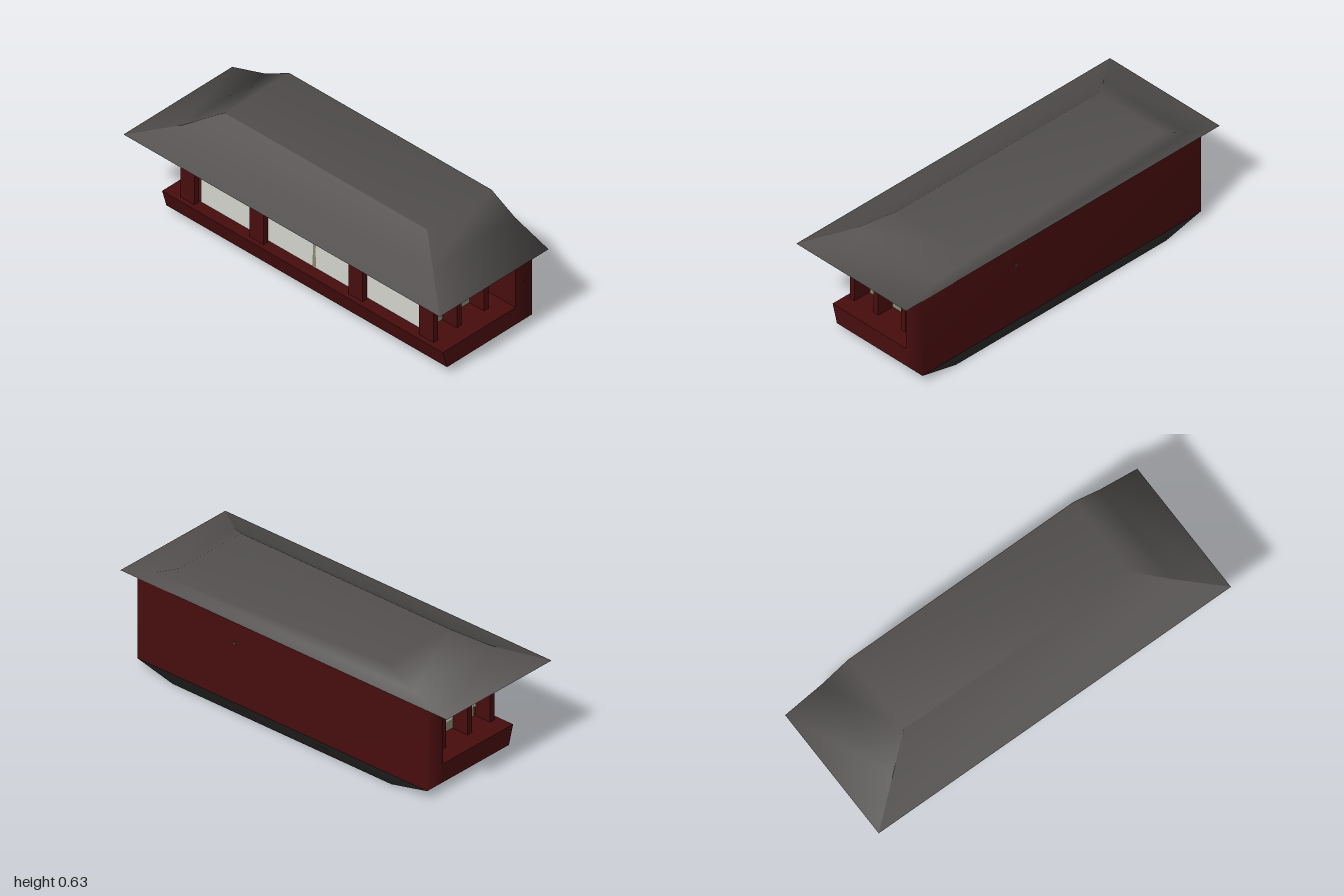
import * as THREE from 'three';

const mat = (name, color) => new THREE.MeshStandardMaterial({ name, color });

// Corner order of a block: bit 0 = x, bit 1 = y, bit 2 = z
const SIDES = {
  front: [4, 5, 7, 6], back: [1, 0, 2, 3], right: [5, 1, 3, 7],
  left: [0, 4, 6, 2], top: [6, 7, 3, 2], bottom: [0, 1, 5, 4],
};

export function createModel() {
  const red = mat('dark red wood', 0x480d0e);
  const slate = mat('roof slate', 0x524f4e);
  const stone = mat('underside grey', 0x3a3a3b);
  const paper = mat('pale paper', 0xd6d6d0);
  const olive = mat('olive paint', 0x8a8a70);
  const dusk = mat('dusky paint', 0x4c4a58);
  const gold = mat('gold soffit', 0xb8984f);
  const model = new THREE.Group();

  const add = (name, geometry, material, parent = model) => {
    const mesh = new THREE.Mesh(geometry, material);
    mesh.name = name;
    parent.add(mesh);
    return mesh;
  };

  // Quads sharing vertices are smooth; flat splits them
  const quads = (points, faces, flat = false) => {
    let g = new THREE.BufferGeometry();
    g.setAttribute('position', new THREE.Float32BufferAttribute(points.flat(), 3));
    g.setIndex(faces.flatMap(([a, b, c, d]) => [a, b, c, a, c, d]));
    if (flat) g = g.toNonIndexed();
    g.computeVertexNormals();
    return g;
  };

  // Block between two rectangles [x0, x1, z0, z1] at heights y0 and y1
  const block = (y0, low, y1, high, sides = Object.keys(SIDES), flat = true) => {
    const pts = [];
    for (let i = 0; i < 8; i++) {
      const r = i & 2 ? high : low;
      pts.push([r[i & 1], i & 2 ? y1 : y0, r[i & 4 ? 3 : 2]]);
    }
    return quads(pts, sides.map((s) => SIDES[s]), flat);
  };

  const X0 = -0.88, X1 = 0.895, BACK = -0.357, WALL = -0.25;
  const FLOOR = 0.147, HEAD = 0.405, EAVE = 0.475;

  // Tapered underside
  add('underside', block(0, [-0.66, 0.68, BACK, 0.04], 0.05, [X0, X1, BACK, 0.2],
    ['front', 'back', 'left', 'right', 'bottom'], false), stone);

  // Flared balcony base and lintel
  add('base', block(0.05, [X0, X1, WALL, 0.2], FLOOR, [X0, X1, WALL, 0.228]), red);
  const beam = [X0, X1, WALL, 0.228];
  add('lintel', block(HEAD, beam, EAVE, beam), red);

  // Back wall with softened rear corners
  const slab = [X0, X1, BACK, WALL];
  add('backWall', block(0.05, slab, EAVE, slab, ['left', 'back', 'right'], false), red);
  add('backWallFront', block(0.05, slab, EAVE, slab, ['front']), red);
  const peg = add('wallPeg', new THREE.CylinderGeometry(0.009, 0.009, 0.004, 8), stone);
  peg.rotation.x = Math.PI / 2;
  peg.position.set(0.3, 0.365, BACK);

  // Posts along the front and down both ends
  const postGeo = new THREE.BoxGeometry(0.09, HEAD - FLOOR, 0.03);
  const post = (x, z) => add('post', postGeo, red).position.set(x, (HEAD + FLOOR) / 2, z);
  for (const x of [-0.745, -0.308, 0.318, 0.765]) post(x, 0.187);
  for (const x of [-0.745, 0.765]) for (const z of [0.033, -0.145]) post(x, z);

  // Paper screens around the inner room
  const L = -0.695, R = 0.715, F = 0.165;
  const room = [L, R, WALL, F];
  add('screens', block(FLOOR, room, HEAD, room, ['front', 'left', 'right']), paper);

  // Painted plates on the screens
  const plate = (name, points, material) => {
    const shape = new THREE.Shape(points.map((p) => new THREE.Vector2(...p)));
    return add(name, new THREE.ShapeGeometry(shape), material);
  };
  const ragged = (from, to, y, amp, n) => Array.from({ length: n + 1 }, (_, i) => [
    from + ((to - from) * i) / n, y + amp * Math.sin(i * 2.3) * Math.cos(i * 0.9)]);

  const canopy = plate('paintedCanopy',
    [[R, HEAD], [L, HEAD], ...ragged(L, R, 0.365, 0.008, 28)], olive);
  const trunk = plate('paintedTrunk', [[0.01, FLOOR], [0.034, FLOOR], [0.032, 0.25],
    [0.036, 0.33], [0.06, 0.37], [-0.02, 0.37], [0.012, 0.33], [0.016, 0.25]], olive);
  const edge = plate('paintedEdge', [[0.705, FLOOR], [R, FLOOR], [R, HEAD], [0.702, HEAD]], olive);
  for (const m of [canopy, trunk, edge]) m.position.z = F + 0.002;
  plate('paintedBird', [[-0.035, HEAD], [-0.03, 0.385], [0.02, 0.368], [0.045, 0.39], [0.045, HEAD]], dusk)
    .position.z = F + 0.004;

  for (const s of [1, -1]) {
    const [a, b] = s > 0 ? [-F, -WALL] : [WALL, F];
    const ground = plate('paintedGround',
      [[a, FLOOR], [b, FLOOR], ...ragged(b, a, 0.196, 0.004, 18)], olive);
    ground.rotation.y = (s * Math.PI) / 2;
    ground.position.x = s > 0 ? R + 0.002 : L - 0.002;
  }

  // Half-hipped roof: three levels from eave to ridge
  const levels = [[1, EAVE, 0.357], [0.79, 0.545, 0.185], [0.64, 0.627, 0.065]];
  const pts = levels.flatMap(([x, y, z]) => [[-x, y, BACK], [-x, y, z], [x, y, z], [x, y, BACK]]);
  const strip = (a, b) => [0, 4].map((k) => [a + k, b + k, b + k + 4, a + k + 4]);
  const roof = new THREE.Group();
  roof.name = 'roof';
  model.add(roof);
  add('roofFront', quads(pts, strip(1, 2)), slate, roof);
  add('roofTopEndsAndBack',
    quads(pts, [...strip(0, 1), ...strip(2, 3), ...strip(3, 0), [8, 9, 10, 11]]), slate, roof);
  const eaves = [-1, 1, BACK, 0.357];
  add('soffit', block(EAVE, eaves, EAVE, eaves, ['bottom']), gold, roof);

  return model;
}
